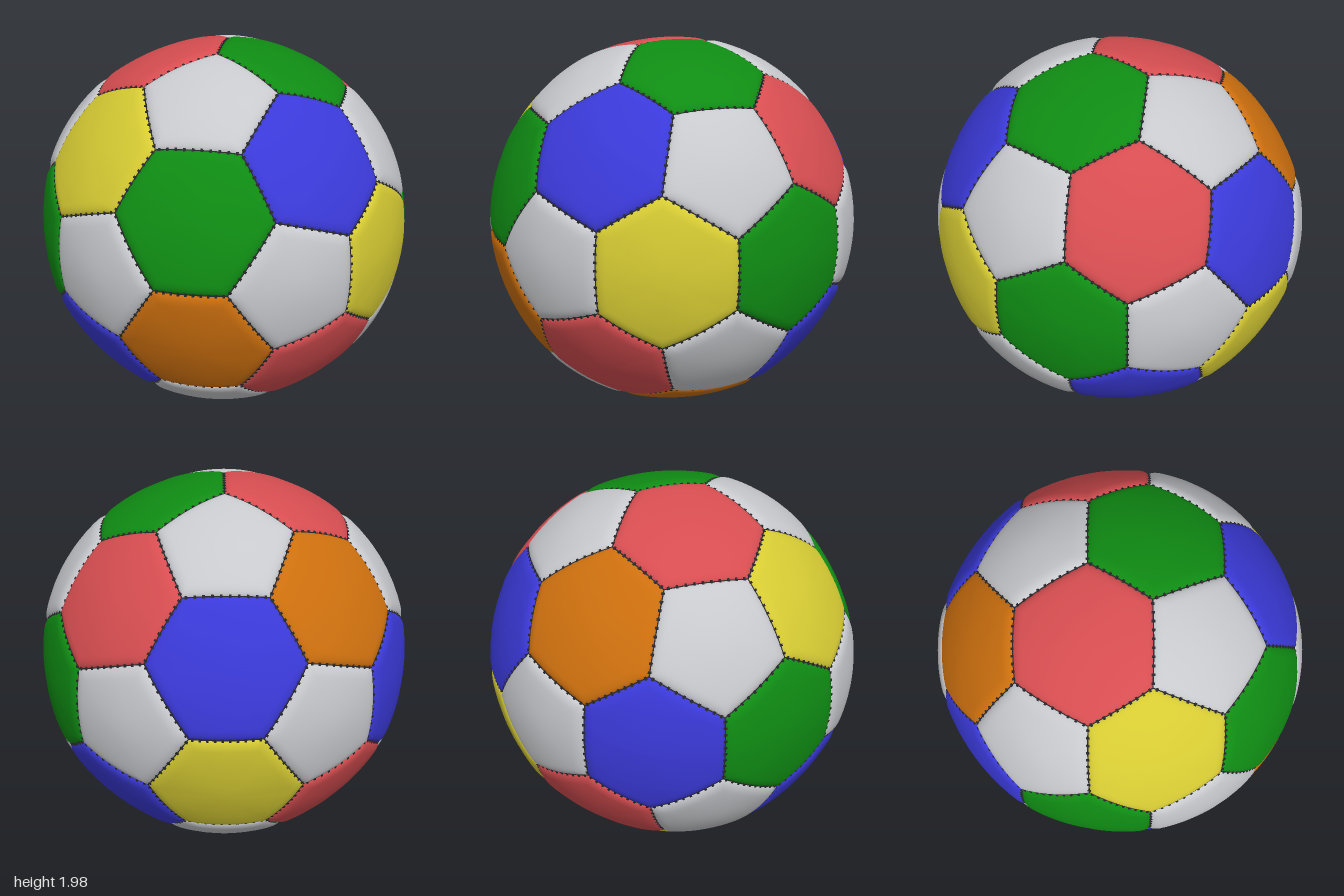
import * as THREE from 'three';
import { mergeGeometries } from 'three/addons/utils/BufferGeometryUtils.js';

const EDGE_R = 0.996, DEPTH = 0.024, SHOULDER = 0.06, GAP = 0.003;
const CENTRE_Y = 0.994;
const deg = Math.PI / 180;

// direction from the polar angle off +z and the azimuth from +x towards +y
const dir = (polar, az) => new THREE.Vector3(
  Math.sin(polar * deg) * Math.cos(az * deg),
  Math.sin(polar * deg) * Math.sin(az * deg),
  Math.cos(polar * deg));

const between = (a, b, t) => {
  const w = a.angleTo(b);
  return a.clone().multiplyScalar(Math.sin((1 - t) * w)).addScaledVector(b, Math.sin(t * w)).normalize();
};

// padded panel: rings from the centre to the seam, rounded off at the rim
function panelGeometry(centre, corners, centreR, apothem) {
  const SEG = 10;
  const rim = [];
  corners.forEach((c, i) => {
    const next = corners[(i + 1) % corners.length];
    for (let j = 0; j < SEG; j++) rim.push(between(c, next, j / SEG));
  });
  const insets = [0.06, 0.045, 0.032, 0.021, 0.013, 0.007, GAP].map(d => 1 - d / apothem);
  const rings = [0.2, 0.4, 0.6, 0.72, ...insets];
  const pos = [...centre.clone().multiplyScalar(centreR).toArray()];
  const index = [];
  const n = rim.length;
  rings.forEach((s, k) => {
    const t = Math.max(0, 1 - (1 - s) * apothem / SHOULDER);
    const r = centreR + (EDGE_R - centreR) * s * s - DEPTH * (1 - Math.sqrt(1 - t * t));
    rim.forEach((p, i) => {
      pos.push(...centre.clone().lerp(p, s).normalize().multiplyScalar(r).toArray());
      const a = 1 + k * n + i, b = 1 + k * n + (i + 1) % n;
      if (k === 0) index.push(0, a, b);
      else index.push(a - n, a, b, a - n, b, b - n);
    });
  });
  const g = new THREE.BufferGeometry();
  g.setAttribute('position', new THREE.Float32BufferAttribute(pos, 3));
  g.setIndex(index);
  g.computeVertexNormals();
  return g;
}

export function createModel() {
  const ball = new THREE.Group();
  ball.name = 'ball';
  const materials = {};
  const colours = {
    white: 0xc8c9cd, yellow: 0xd6cb33, green: 0x0f8c13, blue: 0x3a39d8,
    red: 0xd64d50, orange: 0xcc6f0e, seam: 0x26262a,
  };
  for (const [name, color] of Object.entries(colours)) {
    materials[name] = new THREE.MeshStandardMaterial({ color });
    materials[name].name = name;
  }
  const add = (geometry, material, name) => {
    const m = new THREE.Mesh(geometry, materials[material]);
    m.name = name;
    m.position.y = CENTRE_Y;
    ball.add(m);
  };

  // twelve pentagon centres
  const pents = [dir(0, 0), dir(180, 0)];
  for (let k = 0; k < 5; k++) pents.push(dir(63.435, 72 * k), dir(116.565, 36 + 72 * k));

  // sixty seam corners, a third of the way between neighbouring pentagons
  const points = [];
  for (const a of pents) for (const b of pents) {
    if (a !== b && a.dot(b) > 0.4) points.push(between(a, b, 1 / 3));
  }

  // corners around a panel centre, in counter-clockwise order from outside
  const cornersOf = c => {
    const u = new THREE.Vector3(0.31, 0.52, 0.79).cross(c).normalize();
    const v = c.clone().cross(u);
    const angle = p => Math.atan2(p.dot(v), p.dot(u));
    return points.filter(p => p.dot(c) > 0.9).sort((p, q) => angle(p) - angle(q));
  };

  // white pentagon panels
  pents.forEach((c, i) => add(panelGeometry(c, cornersOf(c), 1.0, 0.3), 'white', `pentagonPanel${i + 1}`));

  // coloured hexagon panels, four rings from front to back
  const hexRings = [
    [37.377, 36, ['green', 'yellow', 'green', 'blue', 'orange']],
    [79.188, 36, ['blue', 'red', 'blue', 'yellow', 'red']],
    [100.812, 0, ['yellow', 'green', 'orange', 'red', 'orange']],
    [142.623, 0, ['green', 'red', 'blue', 'yellow', 'blue']],
  ];
  hexRings.forEach(([polar, start, names], r) => names.forEach((name, k) => {
    const c = dir(polar, start + 72 * k);
    add(panelGeometry(c, cornersOf(c), 0.986, 0.35), name, `hexagonPanel${r * 5 + k + 1}`);
  }));

  // dark core showing in the seams
  add(new THREE.SphereGeometry(0.971, 96, 64), 'seam', 'seamCore');

  // stitches laid across every seam
  const stitches = [];
  const box = new THREE.BoxGeometry(0.012, 0.024, 0.01);
  points.forEach((a, i) => points.slice(i + 1).forEach(b => {
    if (a.dot(b) < 0.89) return;
    const along = b.clone().sub(a).normalize();
    for (let k = 0; k < 10; k++) {
      const out = between(a, b, (k + 0.5) / 10);
      const across = out.clone().cross(along).normalize();
      const m = new THREE.Matrix4().makeBasis(across.clone().cross(out), across, out);
      stitches.push(box.clone().applyMatrix4(m.setPosition(out.multiplyScalar(0.979))));
    }
  }));
  add(mergeGeometries(stitches), 'seam', 'stitches');
  return ball;
}
